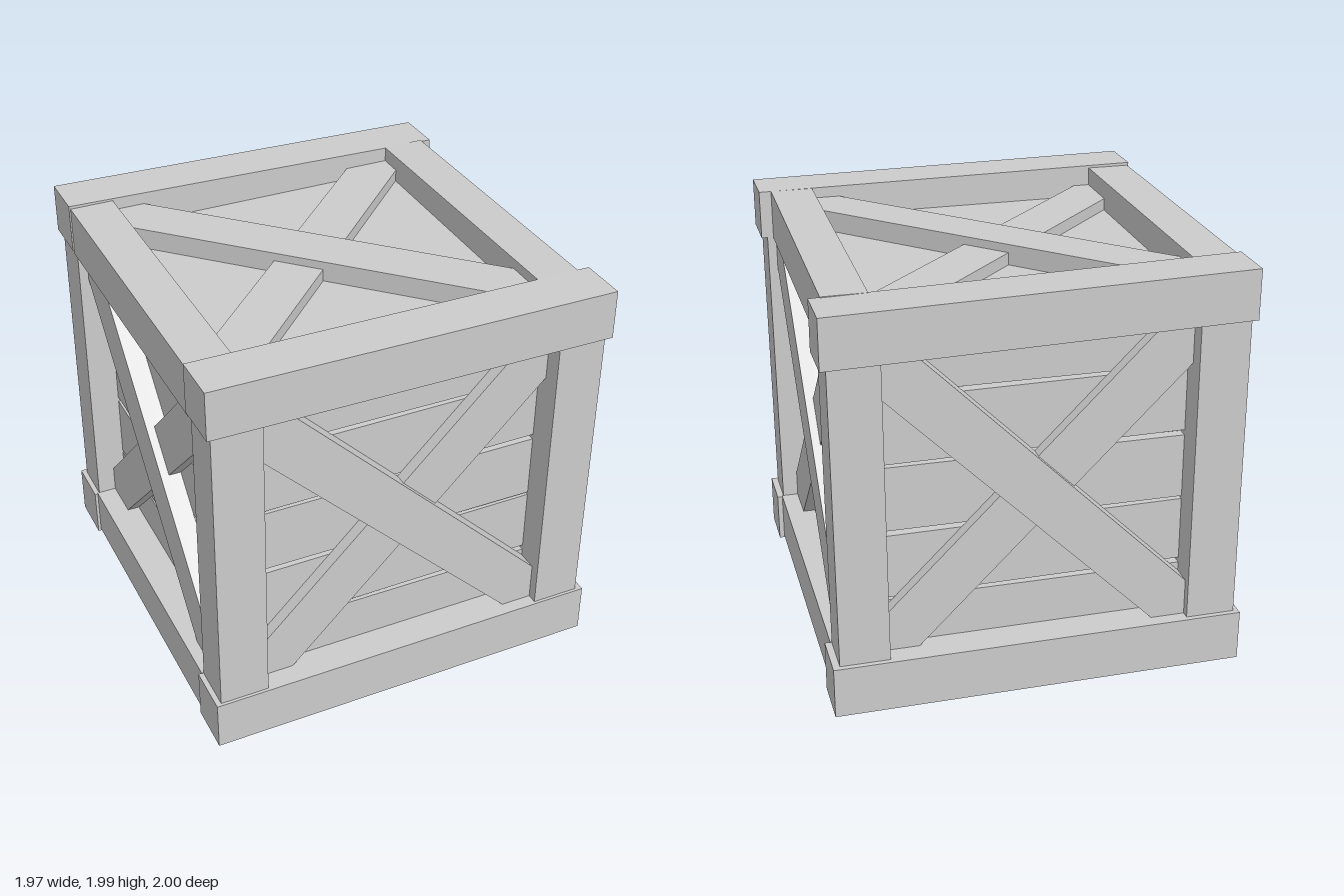
import * as THREE from 'three';

const wood = new THREE.MeshStandardMaterial({ color: 0xcccccc, flatShading: true });

// Box given by its limits, with an optional rule that bends its corners
function bar(name, [x0, x1], [y0, y1], [z0, z1], warp) {
  const geo = new THREE.BoxGeometry(x1 - x0, y1 - y0, z1 - z0);
  geo.translate((x0 + x1) / 2, (y0 + y1) / 2, (z0 + z1) / 2);
  if (warp) {
    const pos = geo.attributes.position;
    const v = new THREE.Vector3();
    for (let i = 0; i < pos.count; i++) {
      warp(v.fromBufferAttribute(pos, i));
      pos.setXYZ(i, v.x, v.y, v.z);
    }
    geo.computeVertexNormals();
  }
  const mesh = new THREE.Mesh(geo, wood);
  mesh.name = name;
  return mesh;
}

// Diagonal board, clipped to the square opening of the frame
function brace(name, mirror, shift, thickness) {
  const h = 0.76, w = 0.172, lo = shift - w + h, hi = shift + w - h;
  const pts = [[-h, h], [-h, lo], [lo, -h], [h, -h], [h, hi], [hi, h]];
  const shape = new THREE.Shape(pts.map(([x, y]) => new THREE.Vector2(mirror * x, y)));
  const geo = new THREE.ExtrudeGeometry(shape, { depth: thickness, bevelEnabled: false });
  const mesh = new THREE.Mesh(geo, wood);
  mesh.name = name;
  return mesh;
}

// Crossed braces lying on a panel; the first one is thicker and stands proud
function cross(name, mirror, shift, otherShift) {
  const group = new THREE.Group();
  group.name = name;
  group.add(brace('upperBrace', mirror, shift, 0.1), brace('lowerBrace', -mirror, otherShift, 0.06));
  return group;
}

// Side wall of five slightly uneven planks with narrow gaps
function wall(name, halfWidth) {
  const group = new THREE.Group();
  group.name = name;
  const joints = [0.15, 0.487, 0.822, 1.157, 1.493, 1.82];
  for (let i = 0; i < 5; i++) {
    const lean = i % 2 ? 0.004 : -0.004;
    group.add(bar('plank', [-halfWidth, halfWidth], [joints[i] + 0.01, joints[i + 1] - 0.01], [-0.05, 0],
      (v) => { v.y += lean * v.x; }));
  }
  const x = cross('wallCross', 1, 0, 0);
  x.position.y = 0.98;
  group.add(x);
  return group;
}

export function createModel() {
  const model = new THREE.Group();
  model.name = 'crate';

  // Four plank walls
  for (let i = 0; i < 4; i++) {
    const turn = new THREE.Group();
    turn.name = 'wallSide';
    const w = wall('wall', i % 2 ? 0.78 : 0.83);
    w.position.z = i % 2 ? 0.81 : 0.835;
    turn.add(w);
    turn.rotation.y = i * Math.PI / 2;
    model.add(turn);
  }

  // Lid and floor panels with their crosses
  model.add(bar('lidPanel', [-0.8, 0.8], [1.78, 1.82], [-0.8, 0.8]));
  const lidCross = cross('lidCross', 1, -0.01, 0.085);
  lidCross.rotation.x = -Math.PI / 2;
  lidCross.position.y = 1.82;
  model.add(lidCross);
  model.add(bar('floorPanel', [-0.8, 0.8], [0.15, 0.19], [-0.8, 0.8]));
  const floorCross = cross('floorCross', -1, 0, 0);
  floorCross.rotation.x = Math.PI / 2;
  floorCross.position.y = 0.15;
  model.add(floorCross);

  // Corner posts
  for (const sx of [-1, 1]) {
    for (const sz of [-1, 1]) {
      const x = sx > 0 ? [0.715, 0.95] : [-0.957, -0.72];
      const z = sz > 0 ? [0.767, 0.985] : [-0.975, -0.762];
      model.add(bar('cornerPost', x, [0.24, 1.75], z, (v) => {
        v.x += 0.004 * (v.y - 1);
      }));
    }
  }

  // Long beams across the front and back
  for (const sz of [-1, 1]) {
    const z = sz > 0 ? [0.762, 1] : [-1, -0.76];
    model.add(bar('bottomBeam', [-0.985, 0.98], [0, 0.25], z));
    const slope = sz > 0 ? 0.008 : 0.02;
    model.add(bar('topBeam', [-0.975, 0.983], [1.745, 1.985], z, (v) => {
      v.y -= slope * (v.x + 0.975);
    }));
  }

  // Shorter beams along the sides, set between the long ones
  for (const sx of [-1, 1]) {
    const low = sx > 0 ? [0.72, 0.955] : [-0.97, -0.73];
    const high = sx > 0 ? [0.72, 0.928] : [-0.968, -0.755];
    model.add(bar('sideBottomBeam', low, [0.01, 0.255], [-0.765, 0.765]));
    model.add(bar('sideTopBeam', high, [1.725, 1.97], [-0.768, 0.768], (v) => {
      if (sx > 0) {
        v.y += 0.012 * (v.z - 0.768);
        v.x -= 0.006 * v.z;
      }
    }));
  }
  return model;
}
